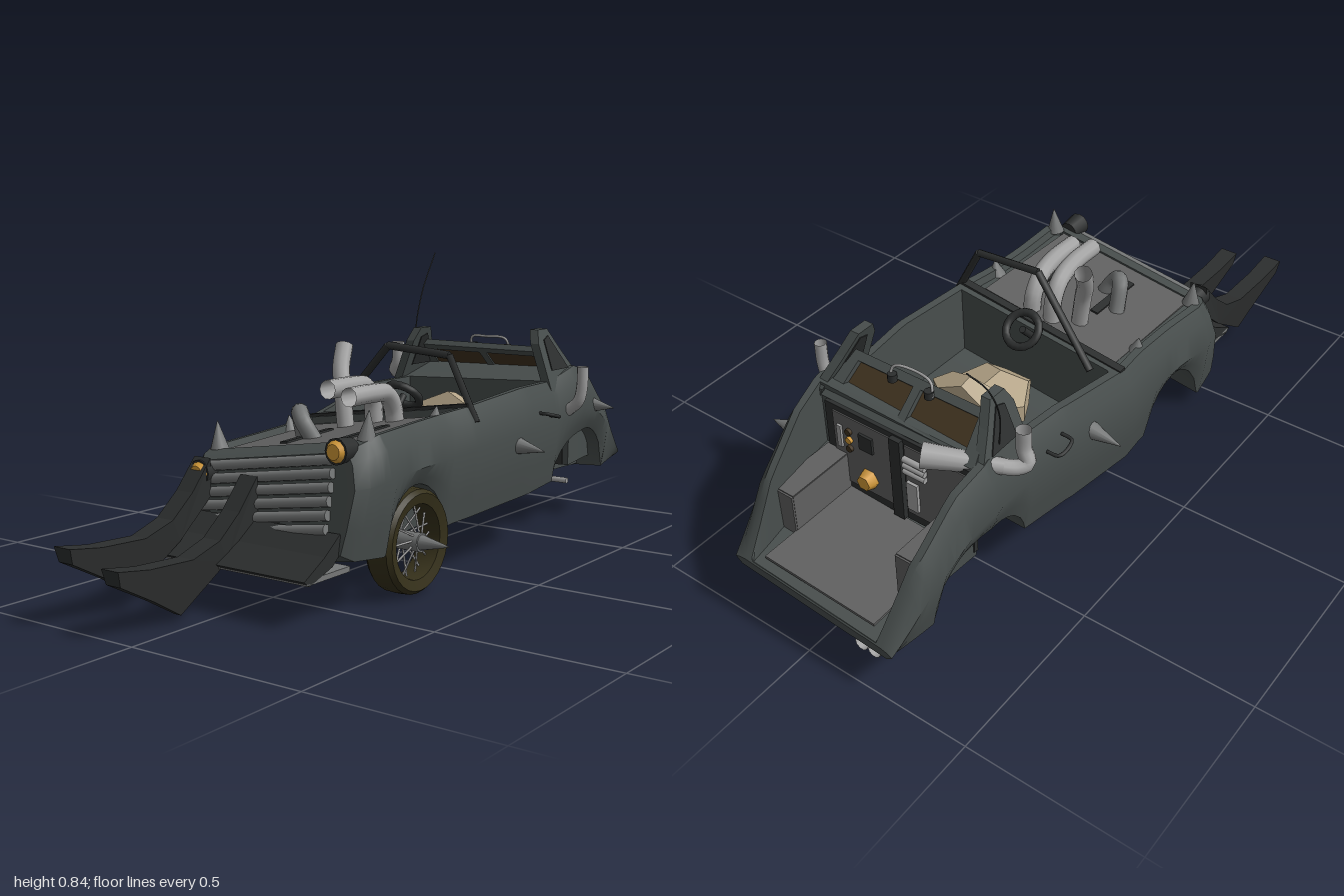
import * as THREE from 'three';
import { toCreasedNormals } from 'three/addons/utils/BufferGeometryUtils.js';

const V = (p) => new THREE.Vector3(...p);
const mat = (color) => new THREE.MeshStandardMaterial({ color, side: THREE.DoubleSide });
const M = {
  body: mat(0x474d4c), panel: mat(0x606060), dark: mat(0x2c2e2e), pipe: mat(0xa2a2a2), steel: mat(0x757777),
  tyre: mat(0x35301a), amber: mat(0xd59b38), seat: mat(0xb5a588), glass: mat(0x40321f),
};

// Body curves along x, as [x, value] points joined by straight lines
const HALF_WIDTH = [[-0.54, 0.27], [-0.51, 0.295], [-0.42, 0.31], [-0.26, 0.3], [-0.11, 0.3], [-0.02, 0.31],
  [0.28, 0.315], [0.46, 0.295], [0.62, 0.31], [0.84, 0.28], [0.99, 0.25]];
const RIM = [[-0.54, 0.41], [-0.51, 0.425], [-0.42, 0.44], [-0.02, 0.46], [0.28, 0.482], [0.47, 0.48],
  [0.6, 0.515], [0.72, 0.48], [0.87, 0.37], [0.99, 0.2]];
const UNDERSIDE = [[-0.54, 0.16], [-0.51, 0.14], [-0.42, 0.13], [-0.39, 0.14], [-0.19, 0.145], [-0.1, 0.155],
  [0.46, 0.18], [0.63, 0.18], [0.84, 0.165], [0.99, 0.175]];
// Sideways slope of the sagging shell
const ROLL = [[-0.54, 0.15], [0, 0.14], [0.3, 0.05], [0.75, 0.03], [0.95, 0.08]];
// Wheel arches and sunken bays
const ARCHES = [{ x: -0.265, r: 0.145, base: 0.11, rise: 0.18 }, { x: 0.65, r: 0.19, base: 0.17, rise: 0.145 }];
const BAYS = [{ from: -0.47, to: -0.02, depth: 0.02 }, { from: 0.035, to: 0.465, floor: 0.26 }, { from: 0.625, to: 0.985, floor: 0.2 }];

function curveAt(points, x) {
  let i = 1;
  while (i < points.length - 1 && points[i][0] < x) i++;
  const [[x0, v0], [x1, v1]] = [points[i - 1], points[i]];
  return v0 + (v1 - v0) * THREE.MathUtils.clamp((x - x0) / (x1 - x0), 0, 1);
}
const sag = (x, z) => curveAt(ROLL, x) * (z - 0.27);

// One closed cross-section of the body, anticlockwise from the keel when seen from the nose
function bodyRing(x) {
  const w = curveAt(HALF_WIDTH, x), yt = curveAt(RIM, x), yb = curveAt(UNDERSIDE, x);
  const ya = ARCHES.reduce((y, a) => {
    const t = 1 - ((x - a.x) / a.r) ** 2;
    return t > 0 ? Math.max(y, a.base + a.rise * Math.sqrt(t)) : y;
  }, yb);
  const bay = BAYS.find((b) => x > b.from && x < b.to);
  const fl = bay ? Math.min(yt, bay.floor ?? yt - bay.depth) : yt;
  const mid = Math.max(ya + 0.01, yb + (yt - yb) * 0.62);
  const half = [[0.62 * w, yb], [0.64 * w, ya], [0.95 * w, ya], [0.99 * w, ya + (mid - ya) * 0.4],
    [1.03 * w, mid], [0.97 * w, mid + (yt - mid) * 0.65], [0.89 * w, yt], [0.82 * w, yt], [0.8 * w, fl]];
  const lean = 0.2 * (1 - THREE.MathUtils.smoothstep(x, -0.52, -0.4));
  const shift = -0.02 * THREE.MathUtils.smoothstep(x, 0.5, 0.95);
  return [[0, yb], ...half, [0, fl], ...half.map(([z, y]) => [-z, y]).reverse()]
    .map(([z, y]) => [x + (y - 0.2) * lean, y + sag(x, z), z + shift]);
}

function bodyGeometry() {
  const xs = Array.from({ length: 52 }, (_, i) => -0.54 + i * 0.03);
  for (const b of BAYS) for (const e of [-0.002, 0.002]) xs.push(b.from + e, b.to + e);
  for (const a of ARCHES) xs.push(a.x - a.r, a.x + a.r);
  const rings = xs.sort((a, b) => a - b).map(bodyRing);
  const n = rings[0].length, end = (rings.length - 1) * n, index = [];
  for (let i = 0; i < end; i += n) for (let j = 0; j < n; j++) {
    const a = i + j, b = i + (j + 1) % n;
    index.push(a, a + n, b + n, a, b + n, b);
  }
  for (let j = 1; j < n - 1; j++) index.push(0, j, j + 1, end, end + j + 1, end + j);
  const g = new THREE.BufferGeometry();
  g.setAttribute('position', new THREE.Float32BufferAttribute(rings.flat(2), 3));
  g.setIndex(index);
  return toCreasedNormals(g, 0.6);
}

export function createModel() {
  const root = new THREE.Group();
  const add = (name, geo, material, p = [0, 0, 0], r = [0, 0, 0], parent = root) => {
    const m = new THREE.Mesh(geo, material);
    m.name = name;
    m.position.set(...p);
    m.rotation.set(...r);
    parent.add(m);
    return m;
  };
  const box = (name, size, p, material, r) => add(name, new THREE.BoxGeometry(...size), material, p, r);
  // Straight round bar from a to b
  const rod = (name, a, b, r0, material, r1 = r0, sides = 10, parent = root, open = false) => {
    const A = V(a), B = V(b), d = B.clone().sub(A);
    const m = add(name, new THREE.CylinderGeometry(r1, r0, d.length(), sides, 1, open), material,
      A.clone().add(B).multiplyScalar(0.5).toArray(), [0, 0, 0], parent);
    m.quaternion.setFromUnitVectors(new THREE.Vector3(0, 1, 0), d.normalize());
  };
  const tube = (name, pts, r, material, seg = 20) =>
    add(name, new THREE.TubeGeometry(new THREE.CatmullRomCurve3(pts.map(V)), seg, r, 10), material);
  const shape = (pts) => new THREE.Shape(pts.map(([x, y]) => new THREE.Vector2(x, y)));
  const slab = (name, pts, depth, z, material) => add(name,
    new THREE.ExtrudeGeometry(shape(pts), { depth, bevelEnabled: false }), material, [0, 0, z - depth / 2]);

  add('body', bodyGeometry(), M.body);

  // Engine deck with dark slots
  const deckTilt = [-0.145, 0, 0.045];
  box('hoodPanel', [0.42, 0.008, 0.46], [-0.25, 0.39, 0], M.panel, deckTilt);
  for (const z of [-0.06, 0.13]) box('hoodSlot', [0.2, 0.012, 0.025], [-0.28, 0.392 + z * 0.145, z], M.dark, deckTilt);

  // Grille and headlamps
  for (let i = 0; i < 6; i++) {
    const y = 0.225 + i * 0.034, x = -0.548 + (y - 0.2) * 0.2;
    rod('grilleSlat', [x, y + sag(x, -0.22), -0.22], [x, y + sag(x, 0.21), 0.21], 0.014, M.steel);
  }
  for (const [x, y, z] of [[-0.5, 0.41, 0.23], [-0.515, 0.31, -0.21]]) {
    rod('lampHousing', [x + 0.03, y, z], [x - 0.03, y, z], 0.028, M.dark, 0.034, 12);
    rod('lampLens', [x - 0.03, y, z], [x - 0.042, y, z], 0.029, M.amber, 0.02, 12);
  }

  // Ram: sloping plate, tray and two long blades
  slab('ramPlate', [[-0.68, 0.12], [-0.6, 0.165], [-0.54, 0.21], [-0.53, 0.17], [-0.57, 0.135], [-0.66, 0.105]], 0.5, 0, M.dark);
  box('ramTray', [0.17, 0.014, 0.5], [-0.585, 0.115, 0], M.steel);
  const blade = [[-1, 0.17], [-0.9, 0.155], [-0.76, 0.15], [-0.67, 0.18], [-0.6, 0.24], [-0.53, 0.32],
    [-0.53, 0.22], [-0.64, 0.12], [-0.79, 0.015], [-0.88, 0.07], [-0.99, 0.13]];
  for (const [z, lift] of [[-0.21, 0.03], [-0.05, 0]]) {
    const b = slab('ramBlade', blade, 0.055, z, M.dark);
    b.position.y = lift;
    const p = b.geometry.attributes.position;
    // Sweep each blade outwards and thin it towards the bottom edge
    for (let i = 0; i < p.count; i++) {
      const t = Math.max(0, -p.getX(i) - 0.6);
      p.setZ(i, 0.0275 + (p.getZ(i) - 0.0275) * (0.35 + 4 * Math.min(0.17, p.getY(i))) - t * 0.04);
    }
    b.geometry.computeVertexNormals();
  }

  // Single wire wheel
  const wheel = new THREE.Group();
  wheel.name = 'wheel';
  wheel.position.set(-0.26, 0.14, 0.255);
  root.add(wheel);
  const profile = [[0.1, -0.035], [0.128, -0.042], [0.138, -0.03], [0.14, 0], [0.138, 0.03], [0.128, 0.042], [0.1, 0.035], [0.096, 0], [0.1, -0.035]];
  const tyre = new THREE.LatheGeometry(profile.map(([r, y]) => new THREE.Vector2(r, y)), 28);
  add('tyre', toCreasedNormals(tyre, 0.6), M.tyre, [0, 0, 0], [Math.PI / 2, 0, 0], wheel);
  for (let i = 0; i < 20; i++) {
    const a = i * Math.PI / 10, b = a + (i % 2 ? 0.35 : -0.35);
    rod('spoke', [0.02 * Math.cos(a), 0.02 * Math.sin(a), i % 2 ? 0.03 : -0.02],
      [0.1 * Math.cos(b), 0.1 * Math.sin(b), 0], 0.003, M.pipe, 0.003, 5, wheel);
  }
  rod('hub', [0, 0, -0.06], [0, 0, 0.045], 0.026, M.steel, 0.026, 12, wheel);
  rod('hubSpike', [0, 0, 0.04], [0, 0, 0.13], 0.022, M.steel, 0.001, 12, wheel);

  // Drive shaft and bare rear axle
  rod('driveShaft', [-0.12, 0.13, 0], [0.65, 0.145, 0], 0.009, M.pipe);
  rod('rearAxle', [0.65, 0.145, -0.18], [0.65, 0.145, 0.23], 0.009, M.pipe);

  // Body spikes
  const spikes = [[[0.2, 0.33, 0.31], [0.2, 0.32, 0.4]], [[0.2, 0.33, -0.31], [0.2, 0.32, -0.405]], [[0.7, 0.385, 0.275], [0.7, 0.38, 0.36]]];
  for (const x of [-0.43, -0.13]) for (const z of [0.25, -0.24])
    spikes.push([[x, 0.43 + sag(x, z), z], [x, (x < -0.2 ? 0.505 : 0.48) + sag(x, z), z * 1.03]]);
  for (const [a, b] of spikes) rod('spike', a, b, 0.026, M.steel, 0.001, 12);

  // Door handles
  for (const s of [1, -1])
    tube('doorHandle', [[0.33, 0.405, s * 0.305], [0.335, 0.403, s * 0.34], [0.39, 0.39, s * 0.34], [0.395, 0.39, s * 0.305]], 0.005, M.dark, 16);

  // Engine pipes over the deck
  for (const [z, y] of [[0.025, 0.52], [0.095, 0.505]])
    tube('enginePipe', [[-0.3, y, z], [-0.2, y, z], [-0.12, y - 0.01, z - 0.01], [-0.08, y - 0.05, z - 0.015], [-0.07, 0.4, z - 0.015]], 0.026, M.pipe);
  tube('intakePipe', [[-0.12, 0.37, -0.05], [-0.11, 0.49, -0.07], [-0.09, 0.55, -0.09], [-0.055, 0.61, -0.105]], 0.025, M.pipe);
  tube('sidePipe', [[-0.3, 0.38, -0.02], [-0.31, 0.43, -0.05], [-0.28, 0.45, -0.085], [-0.24, 0.37, -0.1]], 0.024, M.steel);

  // Bent windscreen frame
  const frame = [[0, 0.42, 0.3], [0.01, 0.595, 0.205], [0.01, 0.61, 0], [0.075, 0.41, -0.22]];
  for (let i = 0; i < 3; i++) rod('windscreenFrame', frame[i], frame[i + 1], 0.011, M.dark, 0.011, 6);
  box('windscreenSill', [0.025, 0.012, 0.56], [0, 0.425, 0], M.dark, [-0.14, 0, 0]);

  // Cockpit
  add('steeringWheel', new THREE.TorusGeometry(0.05, 0.012, 8, 20), M.dark, [0.085, 0.46, 0], [-Math.PI / 2, 0.75, 0]);
  rod('steeringColumn', [0.03, 0.4, 0], [0.085, 0.46, 0], 0.01, M.dark);
  const cushion = new THREE.DodecahedronGeometry(1);
  add('seatCushion', cushion, M.seat, [0.23, 0.31, 0.005]).scale.set(0.14, 0.07, 0.125);
  add('seatBack', cushion, M.seat, [0.32, 0.35, 0], [0, 0, -0.2]).scale.set(0.06, 0.1, 0.135);

  // Rear screen: leaning side fins with quarter lights, two-pane frame, wiper loop
  const fin = [[0.45, 0.44], [0.455, 0.58], [0.475, 0.62], [0.53, 0.62], [0.57, 0.56], [0.63, 0.48], [0.63, 0.44]];
  for (const s of [1, -1]) {
    const inward = new THREE.Matrix4().set(1, 0, 0, 0, 0, 1, 0, 0, 0, -s * 0.36, 1, s * 0.36 * 0.46, 0, 0, 0, 1);
    const y = s > 0 ? 0.01 : -0.006, z = s * 0.268 - 0.008;
    for (const part of [slab('screenFin', fin, 0.028, z, M.body),
      slab('quarterLight', [[0.485, 0.5], [0.49, 0.59], [0.52, 0.6], [0.585, 0.5]], 0.034, z, M.dark)]) {
      part.geometry.applyMatrix4(inward);
      part.position.y = y;
    }
  }
  const screen = shape([[-0.25, 0], [0.25, 0], [0.22, 0.145], [-0.22, 0.145]]);
  for (const s of [-1, 1])
    screen.holes.push(new THREE.Path([[0.012, 0.03], [0.205, 0.03], [0.195, 0.12], [0.012, 0.12]].map(([x, y]) => new THREE.Vector2(s * x, y))));
  const rear = new THREE.Group();
  rear.name = 'rearScreen';
  rear.position.set(0.635, 0.465, -0.012);
  rear.rotation.set(0, Math.PI / 2, 0);
  root.add(rear);
  const tilt = [-0.87, 0, 0];
  add('screenFrame', new THREE.ExtrudeGeometry(screen, { depth: 0.02, bevelEnabled: false }), M.body, [0, 0, -0.01], tilt, rear);
  add('screenGlass', new THREE.PlaneGeometry(0.42, 0.11).translate(0, 0.075, 0), M.glass, [0, 0, -0.003], tilt, rear);
  tube('wiperLoop', [[0.55, 0.555, 0.075], [0.54, 0.59, 0.065], [0.53, 0.595, 0], [0.54, 0.59, -0.055], [0.55, 0.555, -0.065]], 0.004, M.pipe, 28);
  for (const z of [0.065, -0.055]) rod('wiperKnob', [0.55, 0.55, z], [0.55, 0.572, z], 0.013, M.dark);

  // Horn, side stack and aerial
  tube('hornPipe', [[0.52, 0.56, -0.325], [0.52, 0.5, -0.325], [0.525, 0.465, -0.34], [0.545, 0.457, -0.325], [0.575, 0.464, -0.29]], 0.021, M.pipe);
  rod('hornBell', [0.568, 0.463, -0.3], [0.67, 0.483, -0.125], 0.021, M.pipe, 0.034, 14, root, true);
  tube('sideStack', [[0.515, 0.525, 0.348], [0.515, 0.46, 0.346], [0.515, 0.42, 0.335], [0.515, 0.385, 0.295]], 0.017, M.pipe);
  tube('aerial', [[0.55, 0.5, -0.272], [0.555, 0.6, -0.28], [0.61, 0.72, -0.292], [0.705, 0.84, -0.307]], 0.002, M.dark);

  // Open rear bay: wheel boxes, panelled bulkhead and fittings
  for (const s of [1, -1]) {
    box('wheelBoxSide', [0.22, 0.13, 0.012], [0.735, 0.255, s * 0.175 - 0.01], M.panel);
    box('wheelBoxTop', [0.22, 0.01, 0.07], [0.735, 0.318, s * 0.205 - 0.01], M.panel);
    box('wheelBoxEnd', [0.01, 0.13, 0.07], [0.845, 0.255, s * 0.205 - 0.01], M.panel);
  }
  box('bayFloor', [0.32, 0.008, 0.36], [0.8, 0.194, -0.018], M.panel, [-0.05, 0, 0]);
  box('bulkhead', [0.015, 0.27, 0.48], [0.632, 0.335, -0.015], M.dark);
  for (const z of [0.1, -0.14]) box('bulkheadPanel', [0.01, 0.225, 0.195], [0.638, 0.34, z], M.panel);
  box('bulkheadPost', [0.03, 0.26, 0.035], [0.64, 0.335, -0.02], M.dark);
  rod('bayLamp', [0.64, 0.275, 0.085], [0.67, 0.275, 0.085], 0.032, M.amber, 0.022, 6);
  [M.glass, M.amber, M.glass].forEach((m, i) => rod('gauge', [0.64, 0.407 - i * 0.028, 0.143], [0.652, 0.407 - i * 0.028, 0.143], 0.01, m));
  box('ventPlate', [0.012, 0.05, 0.045], [0.644, 0.395, 0.085], M.dark);
  box('wirePlate', [0.012, 0.07, 0.014], [0.644, 0.38, 0.175], M.pipe);
  for (let i = 0; i < 3; i++) rod('bayPipe', [0.65, 0.415 - i * 0.019, -0.045], [0.65, 0.415 - i * 0.019, -0.115], 0.009, M.pipe);
  box('fusePlate', [0.012, 0.09, 0.035], [0.646, 0.295, -0.067], M.pipe);

  // Twin tailpipes
  for (const z of [-0.18, -0.22])
    tube('tailpipe', [[0.82, 0.16, z], [0.85, 0.14, z], [0.9, 0.13, z], [0.99, 0.138, z]], 0.02, M.pipe);
  return root;
}
